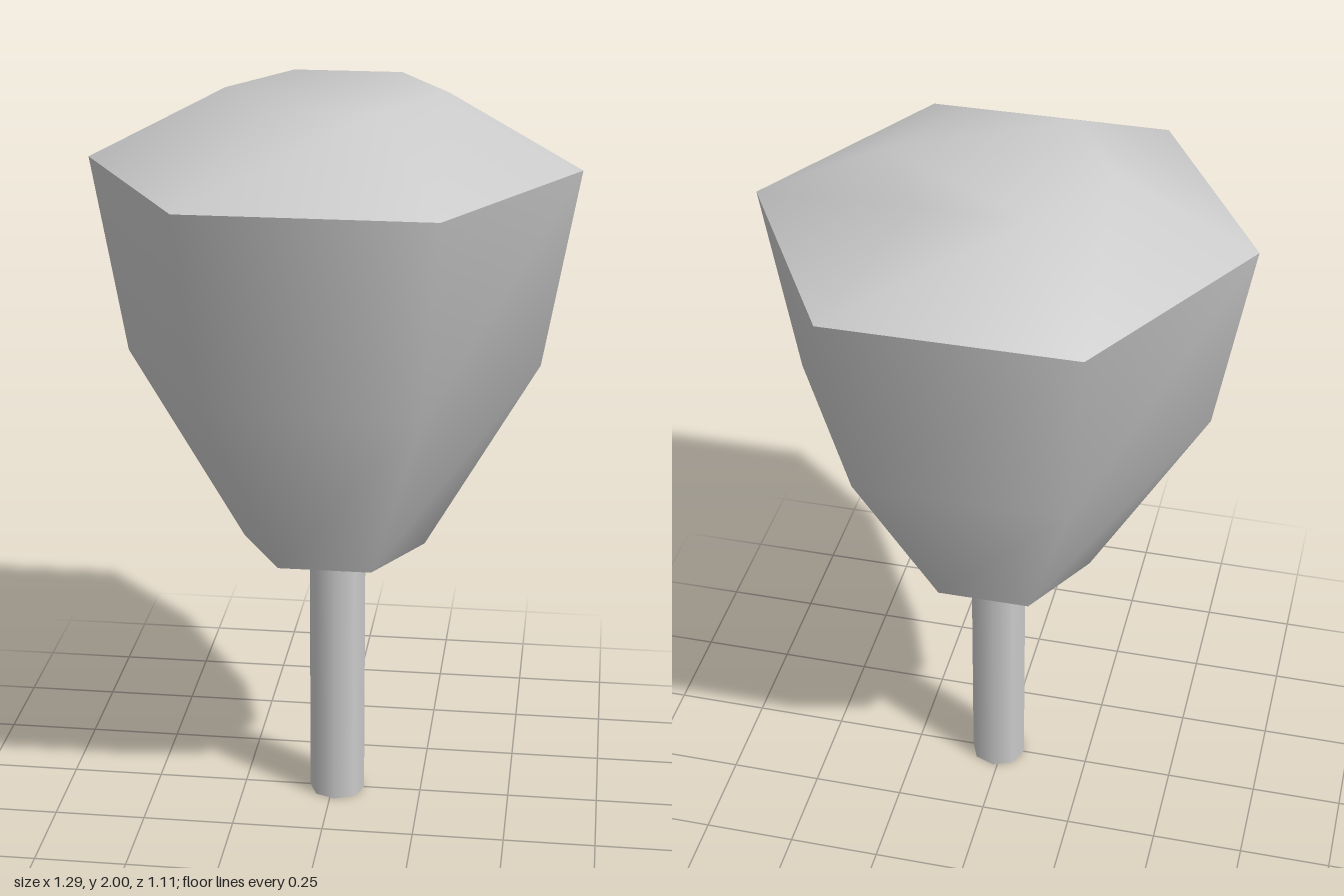
import * as THREE from 'three';

const material = new THREE.MeshStandardMaterial({ color: 0xcccccc });

// Horizontal six-sided sections: centre x, height, centre z, radius
const TOP = [0.007, 2, -0.03, 0.29];
const RIM = [0, 1.815, 0, 0.643];
const WAIST = [0, 1.29, 0.005, 0.552];
const FOOT = [0.003, 0.762, -0.004, 0.249];

// Smooth skin through sections listed from bottom to top, closed above or below on request
function loft(sections, { sides = 6, closeTop = false, closeBottom = false } = {}) {
  const positions = [], index = [];
  for (const [cx, y, cz, r] of sections) {
    for (let i = 0; i < sides; i++) {
      const a = (i / sides) * Math.PI * 2;
      positions.push(cx + r * Math.cos(a), y, cz + r * Math.sin(a));
    }
  }
  for (let s = 0; s < sections.length - 1; s++) {
    for (let i = 0; i < sides; i++) {
      const a = s * sides + i, b = s * sides + (i + 1) % sides;
      index.push(a, a + sides, b, b, a + sides, b + sides);
    }
  }
  const last = (sections.length - 1) * sides;
  for (let i = 1; i < sides - 1; i++) {
    if (closeTop) index.push(last, last + i + 1, last + i);
    if (closeBottom) index.push(0, i, i + 1);
  }
  const geometry = new THREE.BufferGeometry();
  geometry.setAttribute('position', new THREE.Float32BufferAttribute(positions, 3));
  geometry.setIndex(index);
  geometry.computeVertexNormals();
  return geometry;
}

export function createModel() {
  const model = new THREE.Group();
  const add = (name, geometry) => {
    const mesh = new THREE.Mesh(geometry, material);
    mesh.name = name;
    model.add(mesh);
    return mesh;
  };

  // Head: separate skins keep the rim and the lower edge sharp
  add('headCap', loft([RIM, TOP], { closeTop: true }));
  add('headSides', loft([FOOT, WAIST, RIM]));
  add('headUnderside', loft([FOOT], { closeBottom: true }));

  // Stem, running slightly into the head
  const stem = add('stem', new THREE.CylinderGeometry(0.077, 0.077, 0.78, 8));
  stem.position.set(0.013, 0.39, 0.002);

  return model;
}
